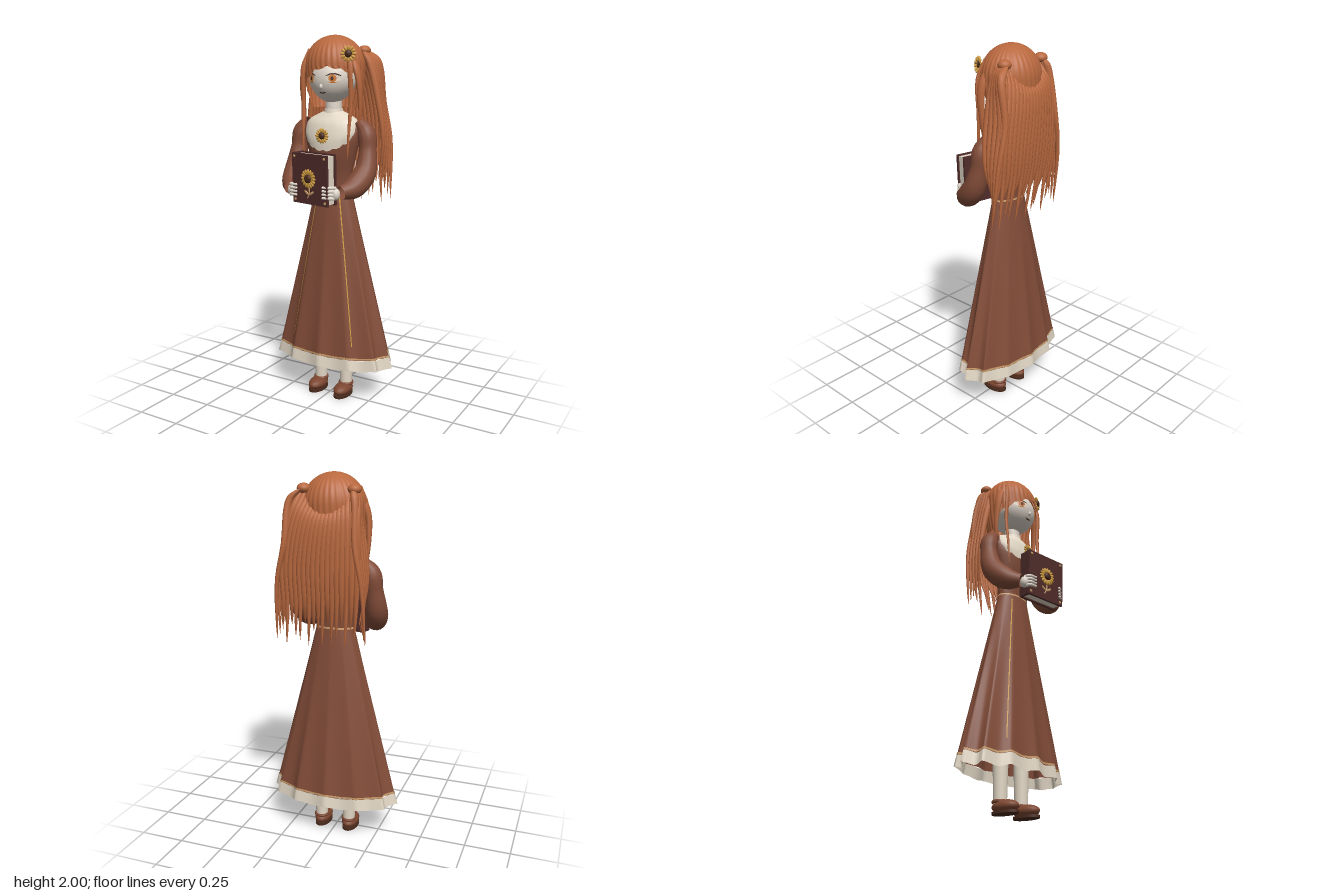
import * as THREE from 'three';

const mat = (name, color, side = THREE.FrontSide) => {
  const m = new THREE.MeshStandardMaterial({ color, side });
  m.name = name;
  return m;
};
const D = THREE.DoubleSide;
const M = {
  hair: mat('copper hair', 0xb9693f, D),
  dress: mat('brown dress', 0x834d39, D),
  cream: mat('cream cloth', 0xe3d8c6, D),
  skin: mat('pale skin', 0xe0d6ca),
  gold: mat('gold', 0xcf9c40, D),
  trim: mat('tan trim', 0xc69a68, D),
  cover: mat('dark book cover', 0x502d2a),
  dark: mat('dark brown', 0x4a2a1c, D),
  iris: mat('amber iris', 0xd07a38),
  shoe: mat('shoe brown', 0x7c4630),
};
const V = (x, y, z) => new THREE.Vector3(x, y, z);
const lerp = THREE.MathUtils.lerp, smooth = THREE.MathUtils.smoothstep;

function add(parent, name, geo, material, pos = [0, 0, 0], scale = [1, 1, 1], rot = [0, 0, 0]) {
  const m = new THREE.Mesh(geo, material);
  m.name = name;
  m.position.set(...pos); m.scale.set(...scale); m.rotation.set(...rot);
  parent.add(m);
  return m;
}
const ball = (parent, name, material, pos, scale, rot) =>
  add(parent, name, new THREE.SphereGeometry(1, 20, 14), material, pos, scale, rot);

// Surface from rings running downwards; fn(u, v) gives a point, u goes round
function loft(fn, nu, nv, closed = true) {
  const p = [], idx = [], cols = closed ? nu : nu + 1;
  for (let j = 0; j <= nv; j++) for (let i = 0; i < cols; i++) p.push(...fn(i / nu, j / nv).toArray());
  for (let j = 0; j < nv; j++) for (let i = 0; i < nu; i++) {
    const a = j * cols + i, c = j * cols + (i + 1) % cols, b = a + cols, d = c + cols;
    idx.push(a, c, b, c, d, b);
  }
  const g = new THREE.BufferGeometry();
  g.setAttribute('position', new THREE.Float32BufferAttribute(p, 3));
  g.setIndex(idx);
  g.computeVertexNormals();
  return g;
}

// Interpolate rows of [y, rx, rz, cz] into an elliptical loft
function sections(rows, wave = () => 0) {
  const a = new THREE.SplineCurve(rows.map(r => new THREE.Vector2(r[0], r[1])));
  const b = new THREE.SplineCurve(rows.map(r => new THREE.Vector2(r[2], r[3])));
  return loft((u, v) => {
    const q = a.getPoint(v), s = b.getPoint(v), t = u * Math.PI * 2;
    return V(q.y * Math.cos(t), q.x + wave(t, v), s.y + s.x * Math.sin(t));
  }, 48, 20);
}

// Flattened tapering lock of hair with horizontal rings
function lock(points, w, d, turn = 0) {
  const c = new THREE.CatmullRomCurve3(points.map(p => V(...p)));
  return loft((u, v) => {
    const t = u * Math.PI * 2, p = c.getPoint(v);
    const k = Math.min(1, 0.25 + v * 4) * Math.pow(1 - v, 0.55) + 0.01;
    const x = w * k * Math.cos(t), z = d * k * Math.sin(t);
    return p.add(V(x * Math.cos(turn) + z * Math.sin(turn), 0, z * Math.cos(turn) - x * Math.sin(turn)));
  }, 10, 18);
}

// Tube whose radius varies along its length
function taperTube(points, radii, seg = 24, sides = 18) {
  const c = new THREE.CatmullRomCurve3(points.map(p => V(...p)));
  const r = new THREE.SplineCurve(radii.map((q, i) => new THREE.Vector2(i, q)));
  const g = new THREE.TubeGeometry(c, seg, 1, sides);
  const pos = g.attributes.position, p = V(0, 0, 0);
  for (let i = 0; i < pos.count; i++) {
    const t = Math.floor(i / (sides + 1)) / seg, o = c.getPointAt(t);
    p.fromBufferAttribute(pos, i).sub(o).multiplyScalar(r.getPoint(t).y).add(o);
    pos.setXYZ(i, p.x, p.y, p.z);
  }
  g.computeVertexNormals();
  return g;
}

function flower(name, r, petals) {
  const g = new THREE.Group();
  g.name = name;
  for (let i = 0; i < petals; i++) {
    const a = i / petals * Math.PI * 2;
    ball(g, 'petal', M.gold, [Math.cos(a) * r * 0.7, Math.sin(a) * r * 0.7, 0], [r * 0.33, r * 0.17, 0.006], [0, 0, a]);
  }
  ball(g, 'flowerCentre', M.dark, [0, 0, 0.004], [r * 0.45, r * 0.45, 0.012]);
  return g;
}

// Skirt surface with twelve pleats that open towards the hem
function skirtPoint(a, y, out = 1) {
  const t = 1.2 - y, k = out * (1 - 0.12 * t * Math.abs(Math.sin(6 * a)));
  return V((0.104 + 0.266 * t) * k * Math.cos(a), y, -0.032 - 0.008 * t + (0.062 + 0.12 * t) * k * Math.sin(a));
}
const skirtBand = (y0, y1, n, out, ripple = 0) => loft((u, v) => {
  const a = u * Math.PI * 2, p = skirtPoint(a, lerp(y0, y1, v), out);
  p.y += ripple * Math.cos(12 * a);
  return p;
}, 144, n);

// Face shape and the depth of its front
const face = { y: 1.775, rx: 0.125, ry: 0.128, rz: 0.125, z: -0.025 };
const jaw = y => 1 - 0.2 * Math.max(0, (face.y - y) / face.ry) ** 2;
const faceZ = (x, y) => face.z + face.rz * Math.sqrt(Math.max(0, 1 - (x / face.rx / jaw(y)) ** 2 - ((y - face.y) / face.ry) ** 2));
function facePatch(g, name, material, x, y, w, h, off, bend = 0) {
  const geo = new THREE.CircleGeometry(1, 24), p = geo.attributes.position;
  for (let i = 0; i < p.count; i++) {
    const px = x + p.getX(i) * w, py = y + p.getY(i) * h - bend * p.getX(i) ** 2;
    p.setXYZ(i, px, py, faceZ(px, py) + off);
  }
  geo.computeVertexNormals();
  add(g, name, geo, material);
}

function buildHead() {
  const g = new THREE.Group();
  g.name = 'head';
  const geo = new THREE.SphereGeometry(1, 40, 28), p = geo.attributes.position;
  for (let i = 0; i < p.count; i++) {
    const y = face.y + p.getY(i) * face.ry;
    p.setXYZ(i, p.getX(i) * face.rx * jaw(y), y, face.z + p.getZ(i) * face.rz);
  }
  geo.computeVertexNormals();
  add(g, 'face', geo, M.skin);
  ball(g, 'nose', M.skin, [0, 1.735, 0.095], [0.009, 0.014, 0.012]);
  facePatch(g, 'mouth', M.dark, 0, 1.702, 0.02, 0.003, 0.004, -0.004);
  for (const s of [-1, 1]) {
    facePatch(g, 'eyeWhite', M.cream, s * 0.064, 1.777, 0.033, 0.02, 0.002);
    facePatch(g, 'iris', M.iris, s * 0.062, 1.777, 0.018, 0.019, 0.004);
    facePatch(g, 'pupil', M.dark, s * 0.062, 1.776, 0.007, 0.01, 0.006);
    facePatch(g, 'eyelash', M.dark, s * 0.065, 1.8, 0.035, 0.004, 0.005, 0.012);
    facePatch(g, 'lowerLid', M.iris, s * 0.064, 1.755, 0.024, 0.002, 0.004, -0.005);
  }
  add(g, 'neck', new THREE.CylinderGeometry(0.042, 0.047, 0.14, 28), M.skin, [0, 1.61, -0.035]);
  add(g, 'collar', new THREE.CylinderGeometry(0.049, 0.056, 0.035, 28), M.cream, [0, 1.6, -0.035]);
  return g;
}

function buildHair() {
  const g = new THREE.Group();
  g.name = 'hair';
  // cap with a swept fringe and fine swirling grooves
  add(g, 'hairCap', loft((u, v) => {
    const a = u * Math.PI * 2, f = Math.sin(a), x = 0.165 * Math.cos(a);
    const fringe = 1.84 - 3 * (x - 0.04) ** 2 - 0.012 * Math.abs(Math.sin(a * 7));
    const edge = lerp(1.62, fringe, smooth(f, -0.1, 0.35));
    const top = Math.min(1, v / 0.6), th = top * Math.PI / 2;
    const y = v < 0.6 ? 1.84 + 0.16 * Math.cos(th) : lerp(1.84, edge, (v - 0.6) / 0.4);
    const k = Math.sin(th) * (1 + 0.012 * Math.sin(32 * a + 5 * v)) * (1 - 3 * Math.max(0, 1.84 - y) ** 2);
    return V(0.163 * k * Math.cos(a), y, -0.047 + 0.147 * k * f);
  }, 192, 30), M.hair);
  // long sheet of locks down the back
  const n = 17;
  for (let i = 0; i < n; i++) {
    const s = i / (n - 1) * 2 - 1, e = s * s, r = Math.sin(i * 2.4);
    add(g, 'backLock', lock([
      [s * 0.14, 1.84 + 0.1 * e, -0.16 + 0.05 * e], [s * 0.17 + 0.01, 1.76 + 0.05 * e, -0.198 + 0.03 * e],
      [s * 0.2 + 0.03, 1.55, -0.21 + 0.02 * e], [s * 0.2 + 0.035, 1.35, -0.195 + 0.015 * e],
      [s * 0.2 + 0.05, 1.17 + 0.06 * r, -0.16 + 0.01 * r]], 0.026, 0.02), M.hair);
  }
  // two gathered tails, fuller at the sides
  for (const s of [-1, 1]) {
    const w = s > 0 ? 1 : 0.76;
    for (let i = 0; i < 5; i++) {
      const q = i / 4;
      add(g, 'tailLock', lock([
        [s * 0.13, 1.93, -0.11 - 0.03 * q], [s * (0.175 + 0.02 * q) * w, 1.87, -0.1 - 0.06 * q],
        [s * (0.235 - 0.02 * q) * w, 1.65, -0.1 - 0.1 * q], [s * 0.26 * w, 1.45, -0.11 - 0.09 * q],
        [s * (0.22 + 0.06 * q) * w, 1.13 + 0.1 * (1 - q), -0.14 - 0.03 * q]], 0.024, 0.026), M.hair);
    }
    ball(g, 'tailRoot', M.hair, [s * 0.135, 1.92, -0.125], [0.035, 0.026, 0.035]);
    // locks framing the face
    add(g, 'sideLock', lock([[s * 0.12, 1.93, 0.02], [s * 0.142, 1.82, 0.045], [s * 0.145, 1.65, 0.04],
      [s * 0.14, 1.5, 0.05], [s * 0.135, 1.36, 0.055]], 0.017, 0.012), M.hair);
    add(g, 'cheekLock', lock([[s * 0.13, 1.9, -0.01], [s * 0.168, 1.78, 0], [s * 0.175, 1.65, -0.01],
      [s * 0.165, 1.5, -0.02]], 0.02, 0.03), M.hair);
  }
  const f = flower('hairFlower', 0.042, 12);
  f.position.set(0.135, 1.9, 0.05); f.rotation.y = 0.35;
  g.add(f);
  return g;
}

function buildDress() {
  const g = new THREE.Group();
  g.name = 'dress';
  add(g, 'skirt', skirtBand(1.2, 0.26, 24, 1), M.dress);
  add(g, 'hemLine', skirtBand(0.275, 0.265, 1, 1.008, 0.004), M.trim);
  add(g, 'hemRuffle', skirtBand(0.262, 0.2, 3, 1.004, 0.006), M.cream);
  add(g, 'waistLine', skirtBand(1.204, 1.194, 1, 1.03), M.trim);
  for (const s of [-1, 1]) add(g, 'skirtPiping', loft((u, v) => {
    const y = lerp(1.17, 0.34, v), a = Math.PI / 2 - s * 0.63;
    return skirtPoint(a + (u - 0.5) * 0.007 / (0.1 + 0.2 * v), y, 1.015);
  }, 2, 20, false), M.gold);
  add(g, 'bodice', sections([[1.6, 0.045, 0.04, -0.035], [1.575, 0.1, 0.05, -0.035], [1.54, 0.165, 0.062, -0.035],
    [1.47, 0.165, 0.085, -0.025], [1.38, 0.14, 0.085, -0.025], [1.27, 0.112, 0.067, -0.03], [1.19, 0.104, 0.062, -0.032]]), M.dress);
  add(g, 'yoke', sections([[1.605, 0.05, 0.045, -0.035], [1.582, 0.1, 0.062, -0.033], [1.545, 0.145, 0.085, -0.027],
    [1.48, 0.158, 0.1, -0.022], [1.43, 0.148, 0.102, -0.022]],
    (a, v) => v * v * (0.045 * Math.cos(a) ** 2 - 0.03 * Math.max(0, Math.sin(a)) + 0.005 * Math.cos(16 * a))), M.cream);
  const b = flower('brooch', 0.04, 14);
  b.position.set(0, 1.48, 0.088);
  g.add(b);
  return g;
}

function buildArm(s) {
  const g = new THREE.Group();
  g.name = s > 0 ? 'leftArm' : 'rightArm';
  add(g, 'sleeve', taperTube([[s * 0.155, 1.55, -0.035], [s * 0.197, 1.5, -0.035], [s * 0.213, 1.4, -0.025],
    [s * 0.215, 1.29, 0.01], [s * 0.19, 1.22, 0.085], [s * 0.155, 1.2, 0.155]],
    [0.03, 0.05, 0.047, 0.055, 0.062, 0.058, 0.036]), M.dress);
  // hand resting against the book, fingers curling over it
  const z = s > 0 ? 0.185 : 0.165, x = s * 0.14;
  ball(g, 'palm', M.skin, [x, 1.195, z], [0.024, 0.032, 0.024]);
  for (let i = 0; i < 4; i++) {
    const y = 1.172 + i * 0.018;
    add(g, 'finger', taperTube([[x, y, z], [x - s * 0.012, y + 0.003, z + 0.027], [x - s * 0.05, y + 0.005, z + (s > 0 ? 0.045 : 0.038)]],
      [0.01, 0.009, 0.006], 8, 10), M.skin);
    ball(g, 'fingertip', M.skin, [x - s * 0.05, y + 0.005, z + (s > 0 ? 0.045 : 0.038)], [0.007, 0.007, 0.007]);
  }
  return g;
}

function buildBook() {
  const g = new THREE.Group();
  g.name = 'book';
  for (const s of [-1, 1]) add(g, 'cover', new THREE.BoxGeometry(0.245, 0.265, 0.013), M.cover, [0, 0, s * 0.031]);
  add(g, 'spine', new THREE.BoxGeometry(0.014, 0.265, 0.06), M.cover, [-0.116, 0, 0]);
  add(g, 'pages', new THREE.BoxGeometry(0.225, 0.25, 0.05), M.cream, [0.002, 0, 0]);
  for (const x of [-0.105, 0.105]) for (const y of [-0.115, 0.115])
    ball(g, 'cornerStud', M.trim, [x, y, 0.038], [0.008, 0.008, 0.004]);
  const f = flower('coverFlower', 0.05, 16);
  f.position.set(0, 0.005, 0.046);
  g.add(f);
  add(g, 'flowerStem', taperTube([[0, -0.04, 0.042], [0.002, -0.07, 0.042], [-0.012, -0.1, 0.042]], [0.004, 0.004, 0.003], 8, 8), M.trim);
  for (const s of [-1, 1]) ball(g, 'leaf', M.trim, [s * 0.018, -0.07, 0.042], [0.018, 0.007, 0.004], [0, 0, s * 0.6]);
  g.position.set(0.004, 1.265, 0.172);
  g.rotation.set(0.04, -0.2, 0);
  return g;
}

function buildLeg(s) {
  const g = new THREE.Group();
  g.name = s > 0 ? 'leftLeg' : 'rightLeg';
  const x = s * 0.083;
  add(g, 'stocking', new THREE.CylinderGeometry(0.048, 0.034, 0.5, 24), M.cream, [x, 0.3, -0.037]);
  ball(g, 'shoe', M.shoe, [x, 0.037, -0.004], [0.046, 0.033, 0.079]);
  add(g, 'shoeCollar', new THREE.TorusGeometry(0.034, 0.009, 10, 24), M.shoe, [x, 0.062, -0.037], [1, 1, 1], [Math.PI / 2, 0, 0]);
  add(g, 'sole', new THREE.CylinderGeometry(1, 1, 0.014, 28), M.dark, [x, 0.007, -0.004], [0.044, 1, 0.078]);
  return g;
}

export function createModel() {
  const model = new THREE.Group();
  model.name = 'girlWithBook';
  model.add(buildHead(), buildHair(), buildDress(), buildBook());
  for (const s of [-1, 1]) model.add(buildArm(s), buildLeg(s));
  return model;
}
